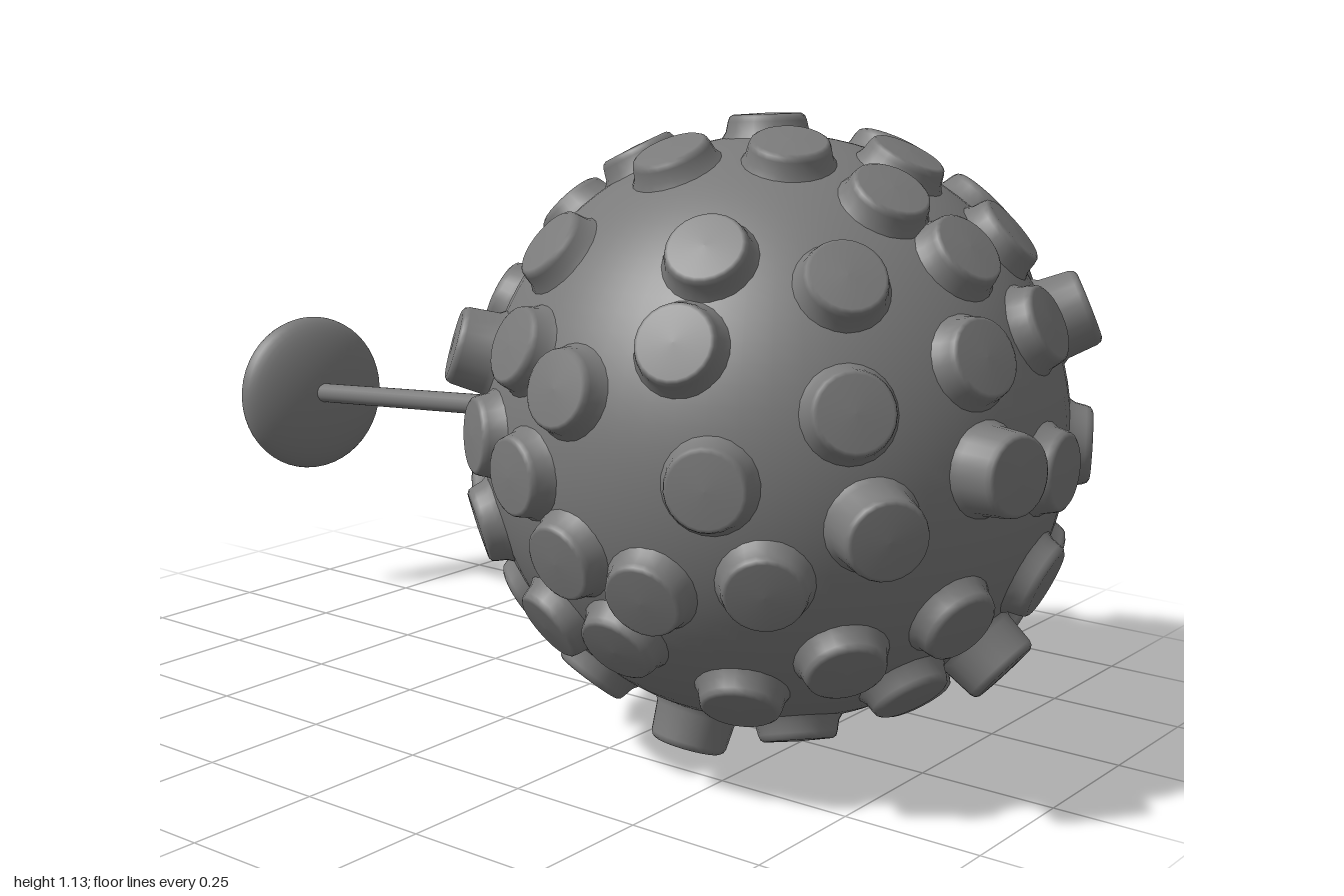
import * as THREE from 'three';

const CENTER = new THREE.Vector3(0.43, 0.56, 0.01);
const BALL_RADIUS = 0.519;
const STUD_TOP = 0.553;
const TALL_TOP = 0.588;
const UP = new THREE.Vector3(0, 1, 0);

// Main studs by patch of the ball: each patch faces an azimuth and elevation
// (degrees) and lists [across, up] in hundredths; a third entry marks a tall stud.
const PATCHES = [
  { az: 0, el: 0, studs: [
    [-20, 19], [-6, 14], [14, 23], [-40, 16, 1], [-16, -2], [22, 1], [-6, -15], [10, -19], [-58, -4, 1],
    [-21, 35], [13, 37], [27, 11], [-30, 2], [-35, -16], [29, -16], [1, -30], [-16, -30]] },
  { az: 90, el: 0, studs: [
    [-14, 20], [7, 23], [28, 23, 1], [-15, 2, 1], [4, -1], [26, -1],
    [-36, -6, 1], [-14, -25], [9, -22], [6, -38, 1], [14, 37], [-6, 36], [-11, -40], [23, -36]] },
  { az: 0, el: 90, studs: [[-12, 16], [10, 22], [-3, 1], [12, -14], [-7, -22], [-28, 8], [24, 4], [30, -11]] },
  { az: 0, el: -90, studs: [[-5, 18, 1]] },
  { az: 215, el: 24, studs: [
    [-21, 7], [17, 13], [-1, -1], [-19, -19], [8, -19], [1, 40], [-8, 24], [20, 32], [-34, -7, 1], [28, -8]] },
  { az: 140, el: -30, studs: [
    [-16, 23], [2, 25], [-12, 3], [14, -1, 1], [-4, -15], [17, -19], [23, 16]] },
];

// Place the main studs, then spread the rest evenly over the bare areas
function studDirections(rodDir) {
  const list = [];
  const add = (dir, top, gap) => {
    if (dir.distanceTo(rodDir) > 0.2 && list.every((s) => s.dir.distanceTo(dir) > gap)) list.push({ dir, top });
  };
  for (const { az, el, studs } of PATCHES) {
    const turn = new THREE.Euler(-THREE.MathUtils.degToRad(el), THREE.MathUtils.degToRad(az), 0, 'YXZ');
    for (const [a, b, tall] of studs) {
      const top = tall ? TALL_TOP : STUD_TOP;
      const x = a / 100, y = b / 100;
      const z = Math.sqrt(Math.max(0, top * top - x * x - y * y));
      add(new THREE.Vector3(x, y, z).normalize().applyEuler(turn), top, 0.25);
    }
  }
  const n = 800;
  for (let i = 0; i < n; i++) {
    const y = 1 - (2 * i + 1) / n, r = Math.sqrt(1 - y * y), t = i * 2.399963;
    add(new THREE.Vector3(r * Math.cos(t), y, r * Math.sin(t)), STUD_TOP, 0.33);
  }
  return list;
}

// Round stud with a flared foot and softened rim, measured from the ball centre
function studGeometry(top) {
  const profile = [
    [0.084, 0.506], [0.073, 0.523], [0.069, top - 0.012], [0.066, top - 0.004], [0.06, top], [0, top + 0.002],
  ];
  return new THREE.LatheGeometry(profile.map(([r, y]) => new THREE.Vector2(r, y)), 24);
}

export function createModel() {
  const model = new THREE.Group();
  model.name = 'studdedBallOnRod';
  const grey = new THREE.MeshStandardMaterial({ color: 0x7a7a7a });
  grey.name = 'mid grey';

  const addMesh = (geometry, name, parent = model) => {
    const mesh = new THREE.Mesh(geometry, grey);
    mesh.name = name;
    parent.add(mesh);
    return mesh;
  };

  // Ball
  addMesh(new THREE.SphereGeometry(BALL_RADIUS, 64, 48), 'ball').position.copy(CENTER);

  // Studs
  const rodEnd = new THREE.Vector3(-0.92, 0.435, -0.148);
  const rodDir = rodEnd.clone().sub(CENTER).normalize();
  const studs = new THREE.Group();
  studs.name = 'studs';
  studs.position.copy(CENTER);
  model.add(studs);
  const shortStud = studGeometry(STUD_TOP), tallStud = studGeometry(TALL_TOP);
  for (const { dir, top } of studDirections(rodDir)) {
    const stud = addMesh(top === TALL_TOP ? tallStud : shortStud, 'stud', studs);
    stud.quaternion.setFromUnitVectors(UP, dir);
  }

  // Rod
  const rodStart = CENTER.clone().addScaledVector(rodDir, 0.45);
  const rod = addMesh(new THREE.CylinderGeometry(0.021, 0.021, rodStart.distanceTo(rodEnd), 24), 'rod');
  rod.position.lerpVectors(rodStart, rodEnd, 0.5);
  rod.quaternion.setFromUnitVectors(UP, rodDir);

  // End disc: domed towards the ball, flat on the outside
  const discProfile = [];
  for (let i = 0; i <= 12; i++) {
    const t = (i / 12) * Math.PI / 2;
    discProfile.push(new THREE.Vector2(0.172 * Math.sin(t), -0.062 * Math.cos(t)));
  }
  const dome = addMesh(new THREE.LatheGeometry(discProfile, 48), 'discDome');
  const face = addMesh(new THREE.CylinderGeometry(0.17, 0.172, 0.008, 48), 'discFace');
  const discDir = new THREE.Vector3(-0.96, -0.06, -0.27).normalize();
  for (const part of [dome, face]) {
    part.position.set(-0.945, 0.43, -0.157);
    part.quaternion.setFromUnitVectors(UP, discDir);
  }
  face.position.addScaledVector(discDir, 0.004);

  return model;
}
